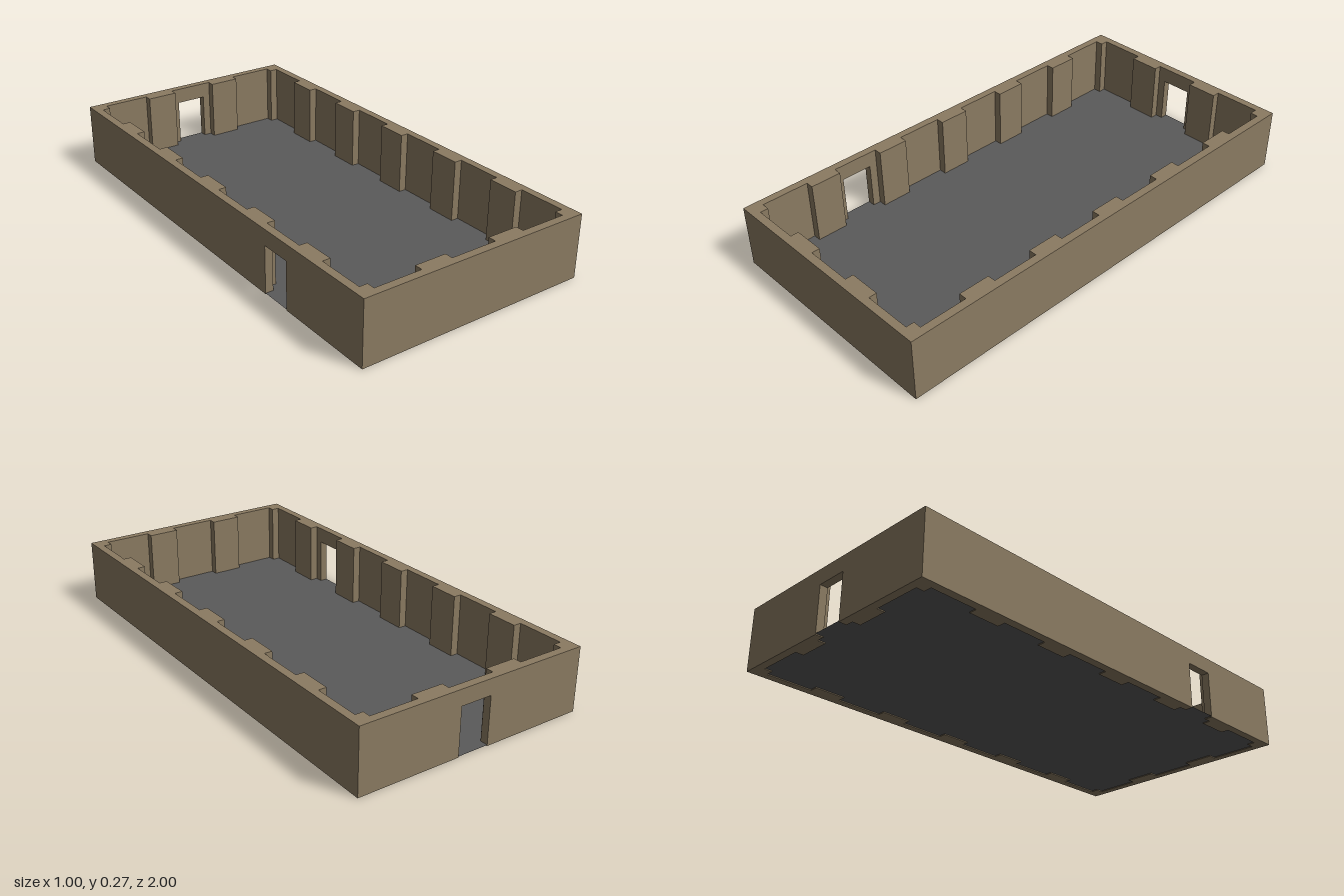
import * as THREE from 'three';

const U = 1 / 30;            // building module
const T = U;                 // wall thickness and pilaster depth
const H = 8 * U;             // wall height
const DOOR_W = 4 * U, DOOR_H = 6 * U;
const HALF_X = 0.5, HALF_Z = 1;

export function createModel() {
  const stone = new THREE.MeshStandardMaterial({ color: 0x8b7b62 });
  stone.name = 'brown stone';
  const slab = new THREE.MeshStandardMaterial({ color: 0x5a5a5a, side: THREE.DoubleSide });
  slab.name = 'grey floor';

  const model = new THREE.Group();
  model.name = 'hall';

  // Wall panel facing local +z, with an optional doorway notch
  function wallPanel(length, door) {
    const h = length / 2;
    const pts = [[-h, 0]];
    if (door !== null) {
      const a = door - DOOR_W / 2, b = door + DOOR_W / 2;
      pts.push([a, 0], [a, DOOR_H], [b, DOOR_H], [b, 0]);
    }
    pts.push([h, 0], [h, H], [-h, H]);
    const shape = new THREE.Shape(pts.map(([x, y]) => new THREE.Vector2(x, y)));
    return new THREE.ExtrudeGeometry(shape, { depth: T, bevelEnabled: false });
  }

  // One side of the hall: outer wall plus its inner pilasters
  function addSide(name, length, distance, angle, door, pilasters) {
    const side = new THREE.Group();
    side.name = name;
    const wall = new THREE.Mesh(wallPanel(length, door), stone);
    wall.name = 'wall';
    side.add(wall);
    for (const x of pilasters) {
      const pilaster = new THREE.Mesh(new THREE.BoxGeometry(4 * U, H, T), stone);
      pilaster.name = 'pilaster';
      pilaster.position.set(x, H / 2, -T / 2);
      side.add(pilaster);
    }
    side.rotation.y = angle;
    side.position.set(Math.sin(angle) * (distance - T), 0, Math.cos(angle) * (distance - T));
    model.add(side);
  }

  const shortBays = [-5 * U, 5 * U];
  const longBays = [-20, -10, 0, 10, 20].map((n) => n * U);
  const longLength = 2 * (HALF_Z - T);
  addSide('frontWall', 2 * HALF_X, HALF_Z, 0, null, shortBays);
  addSide('backWall', 2 * HALF_X, HALF_Z, Math.PI, 0, shortBays);
  addSide('leftWall', longLength, HALF_X, Math.PI / 2, null, longBays);
  addSide('rightWall', longLength, HALF_X, -Math.PI / 2, 0.5, longBays);

  // Square posts in the inner corners
  for (const sx of [-1, 1]) {
    for (const sz of [-1, 1]) {
      const post = new THREE.Mesh(new THREE.BoxGeometry(T, H, T), stone);
      post.name = 'cornerPost';
      post.position.set(sx * (HALF_X - 1.5 * T), H / 2, sz * (HALF_Z - 1.5 * T));
      model.add(post);
    }
  }

  // Floor and the thresholds under the two doorways
  function addFloor(name, width, depth, x, z) {
    const floor = new THREE.Mesh(new THREE.PlaneGeometry(width, depth), slab);
    floor.name = name;
    floor.rotation.x = -Math.PI / 2;
    floor.position.set(x, 0.004, z);
    model.add(floor);
  }
  addFloor('floor', 2 * (HALF_X - T), 2 * (HALF_Z - T), 0, 0);
  addFloor('backThreshold', DOOR_W, T, 0, -(HALF_Z - T / 2));
  addFloor('rightThreshold', T, DOOR_W, -(HALF_X - T / 2), 0.5);

  return model;
}
